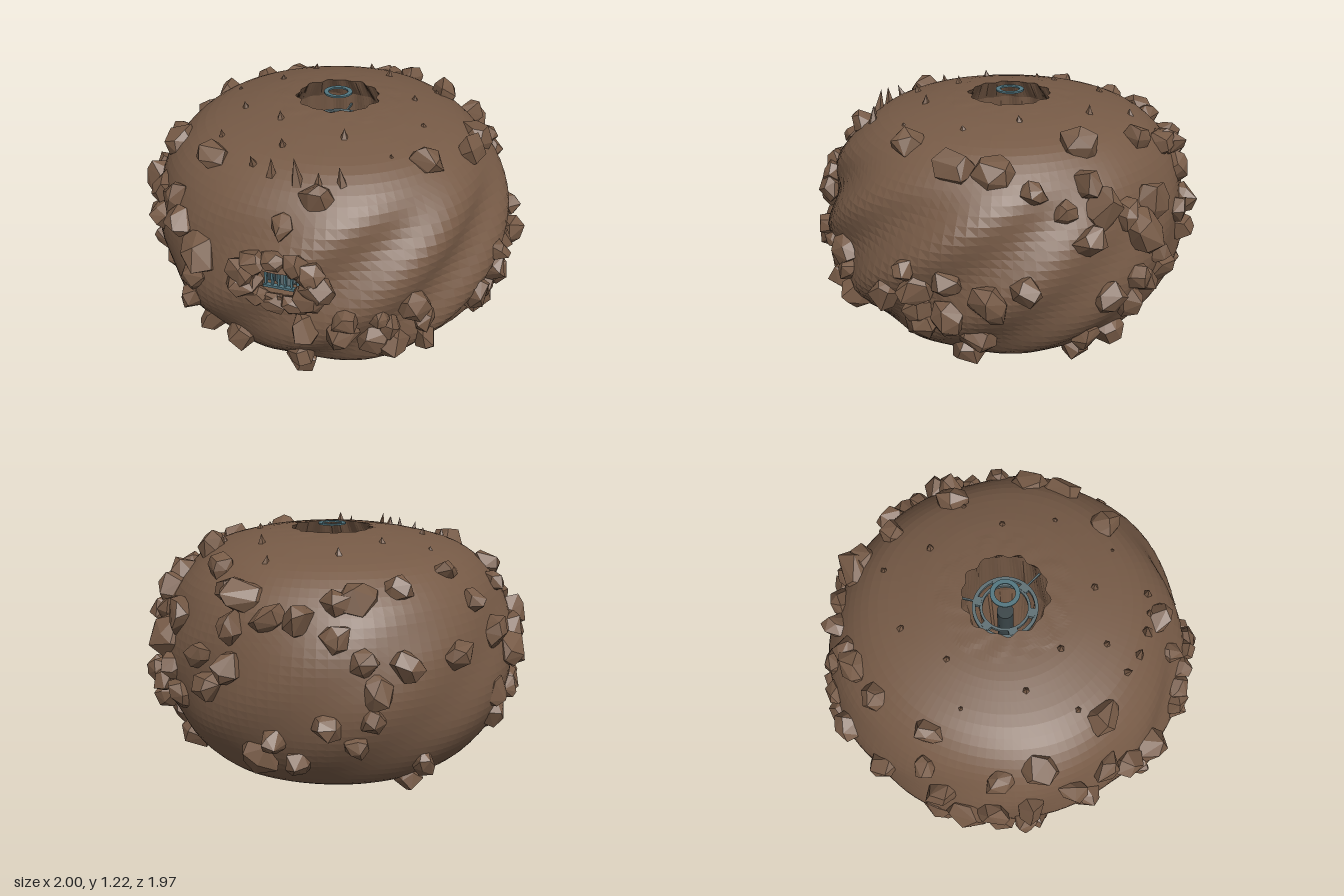
import * as THREE from 'three';
import { ConvexGeometry } from 'three/addons/geometries/ConvexGeometry.js';

const { sin, cos, PI, max, min, abs, atan2, hypot } = Math;
const { smoothstep } = THREE.MathUtils;
let seed = 7;
const rand = () => (seed = (seed * 16807) % 2147483647) / 2147483647;

// Outer profile [radius, height], bottom rim to top rim, then the shaft wall back down
const PROFILE = [[.2, .02], [.3, .015], [.5, .04], [.68, .12], [.8, .25], [.88, .4], [.91, .55], [.9, .7],
  [.86, .85], [.78, 1], [.64, 1.12], [.45, 1.18], [.3, 1.205], [.2, 1.215]];
const SHAFT = [[.25, 1.12], [.31, .6], [.25, .1], [.2, .02]];

// Linear lookup in a profile stretch that ends at the top
const radiusAt = y => {
  const i = PROFILE.findIndex((p, n) => n > 1 && p[1] >= y), [a, b] = [PROFILE[i - 1], PROFILE[i]];
  return a[0] + (b[0] - a[0]) * (y - a[1]) / (b[1] - a[1]);
};
const heightAt = r => {
  const i = PROFILE.findIndex((p, n) => n > 6 && p[0] <= r), [a, b] = [PROFILE[i - 1], PROFILE[i]];
  return a[1] + (b[1] - a[1]) * (r - a[0]) / (b[0] - a[0]);
};

// Lumps, slanting ripples strongest on the left front, longer front to back, flatter back corner
function swell(phi, r, y) {
  const w = smoothstep(r, .35, .75);
  const ripple = (.007 + .026 * max(0, cos(phi - .95))) * smoothstep(1.12 - y, 0, .3) * smoothstep(y, .05, .25);
  return 1 + w * (.008 * sin(3 * phi + 4 * y) + .007 * sin(5 * phi - 6 * y) + ripple * sin(9 * phi - 14 * y)
    + .025 * cos(phi) ** 2 + .035 * max(0, cos(phi + PI / 2)) ** 2 - .04 * max(0, cos(phi - 2.4)) ** 2);
}

function bodyGeometry() {
  const outer = new THREE.SplineCurve(PROFILE.map(p => new THREE.Vector2(...p))).getPoints(52);
  const inner = SHAFT.map(p => new THREE.Vector2(...p));
  const geo = new THREE.LatheGeometry([...outer, ...inner], 112);
  const pos = geo.attributes.position;
  for (let i = 0; i < pos.count; i++) {
    const x = pos.getX(i), y = pos.getY(i), z = pos.getZ(i), r = hypot(x, z), phi = atan2(x, z);
    const jag = r < .33 ? .007 * sin(14 * phi + (r - .2) * 40) + .006 * sin(9 * phi + 1) : 0;
    const s = swell(phi, r, y) + jag / r;
    pos.setXYZ(i, x * s, y, z * s);
  }
  // Leave out the faces across the front opening
  const index = geo.index.array, kept = [];
  for (let i = 0; i < index.length; i += 3) {
    const tri = [index[i], index[i + 1], index[i + 2]];
    const mean = axis => tri.reduce((sum, v) => sum + pos.array[v * 3 + axis], 0) / 3;
    if (!(mean(2) > .7 && abs(mean(0)) < .095 && abs(mean(1) - .71) < .07)) kept.push(...tri);
  }
  geo.setIndex(kept);
  const flat = geo.toNonIndexed();
  flat.computeVertexNormals();
  return flat;
}

// Irregular convex boulder
function rockGeometry(size) {
  const pts = [], n = 15, stretch = [.85 + .4 * rand(), .75 + .4 * rand(), .7 + .35 * rand()];
  for (let i = 0; i < n; i++) {
    const h = 1 - 2 * (i + .5) / n, a = i * 2.4 + rand() * .9, q = Math.sqrt(1 - h * h), s = size * (.85 + .3 * rand());
    pts.push(new THREE.Vector3(q * cos(a) * s * stretch[0], h * s * stretch[1], q * sin(a) * s * stretch[2]));
  }
  return new ConvexGeometry(pts);
}

// Boulder clusters: [degrees round from the front, height, count]
const CLUSTERS = [[4, 1, 2], [-38, 1.09, 1], [-72, 1, 2], [-50, .86, 2], [-32, .77, 2], [-52, .73, 1], [-30, .52, 2], [-22, .31, 2],
  [5, .27, 1], [3, .15, 1], [13, .53, 2], [24, .48, 3], [37, .42, 4], [38, .57, 1], [68, .5, 3], [-75, .76, 2], [-72, .5, 3],
  [-68, .24, 3], [79, 1.07, 1], [100, 1.03, 2], [127, 1.06, 2], [122, .87, 3], [143, .83, 3], [148, .56, 3], [135, .5, 3],
  [75, .64, 2], [98, .58, 2], [76, .4, 2], [86, .24, 2], [130, .2, 3], [166, 1.06, 2], [180, .95, 3], [170, .7, 3], [190, .35, 3],
  [-156, .95, 3], [-140, .74, 3], [-138, 1.04, 2], [-148, .5, 3], [-105, 1.02, 2], [-117, .77, 1], [-92, .74, 2], [-94, .47, 3],
  [-124, .2, 2], [54, 1.12, 1]];

export function createModel() {
  const group = new THREE.Group();
  group.name = 'asteroid';
  const material = (name, color) => {
    const m = new THREE.MeshStandardMaterial({ color });
    m.name = name;
    return m;
  };
  const stone = material('brown stone', 0x765a46);
  const teal = material('teal steel', 0x527680);
  const steel = material('grey steel', 0x5f7074);
  const dark = material('dark metal', 0x3a4548);

  const sub = name => {
    const g = new THREE.Group();
    g.name = name;
    g.position.x = -.02;
    group.add(g);
    return g;
  };
  const add = (parent, name, geo, mat, x = 0, y = 0, z = 0) => {
    const m = new THREE.Mesh(geo, mat);
    m.name = name;
    m.position.set(x, y, z);
    parent.add(m);
    return m;
  };
  add(sub('body'), 'asteroidBody', bodyGeometry(), stone);

  // Boulders half sunk into the surface, spread around each cluster's middle
  const rocks = sub('boulders');
  for (const [degrees, height, count] of CLUSTERS) {
    for (let i = 0; i < count; i++) {
      const turn = i * PI * 2 / count + degrees, spread = count > 1 ? .07 + .012 * count : 0;
      const y = height + spread * .7 * sin(turn), r = radiusAt(y), size = .064 + .036 * rand();
      const phi = degrees * PI / 180 + spread * cos(turn) / r;
      const k = min(r * swell(phi, r, y), .99 - size * .75);
      const m = add(rocks, 'boulder', rockGeometry(size), stone, k * sin(phi), y, k * cos(phi));
      m.rotation.set(rand() * 6, rand() * 6, rand() * 6);
    }
  }

  // Ring of boulders framing the front opening
  const frame = sub('openingFrame');
  for (let i = 0; i < 11; i++) {
    const a = i * PI * 2 / 11, size = .055 + .025 * abs(cos(a));
    add(frame, 'frameRock', rockGeometry(size), stone, .172 * cos(a), .715 + .112 * sin(a), .91);
  }

  // Small upright shards: a front row of tall ones, then scattered pebbles
  const shards = sub('shards');
  for (let i = 0; i < 19; i++) {
    const tall = i < 5, a = tall ? (i - 2) * .17 + .08 * (rand() - .5) : i * 2.4, r = tall ? .65 + .04 * rand() : .36 + .02 * (i - 5);
    const h = tall ? .07 + .025 * (i % 3) : .02 + .03 * rand();
    const geo = new THREE.ConeGeometry(.016 + h * .2, h * 1.3, 5).toNonIndexed();
    geo.computeVertexNormals();
    const m = add(shards, 'shard', geo, stone, r * sin(a), heightAt(r) + h * .3, r * cos(a));
    m.rotation.set((rand() - .3) * .5, rand() * 6, (rand() - .5) * .4);
  }

  // Recessed front opening with stone walls, a ribbed drum and rails
  const port = sub('frontPort');
  for (const side of [-1, 1]) {
    add(port, 'openingWall', new THREE.BoxGeometry(.03, .2, .2), stone, side * .115, .71, .8);
    add(port, 'openingLedge', new THREE.BoxGeometry(.24, .03, .2), stone, 0, .71 + side * .09, .8);
    add(port, 'portRail', new THREE.BoxGeometry(.17, .012, .02), teal, 0, .71 + side * .05, .87);
  }
  add(port, 'portBack', new THREE.BoxGeometry(.2, .16, .03), dark, 0, .71, .79);
  add(port, 'portDrum', new THREE.CylinderGeometry(.05, .05, .1, 12), steel, 0, .71, .81);
  for (let i = 0; i < 6; i++) add(port, 'portRib', new THREE.BoxGeometry(.01, .1, .015), teal, (i - 2.5) * .03, .71, .865);

  // Station inside the shaft: segmented rings, spokes and a central column
  const station = sub('shaftStation');
  const ring = (name, r0, r1, h, y, mat) => {
    const s = new THREE.Shape().absarc(0, 0, r1, 0, PI * 2);
    s.holes.push(new THREE.Path().absarc(0, 0, r0, 0, PI * 2, true));
    const geo = new THREE.ExtrudeGeometry(s, { depth: h, bevelEnabled: false, curveSegments: 32 });
    add(station, name, geo.rotateX(-PI / 2), mat, 0, y, 0);
  };
  const around = (name, count, radius, y, size) => {
    for (let i = 0; i < count; i++) {
      const a = PI + i * PI * 2 / count;
      add(station, name, new THREE.BoxGeometry(...size), steel, radius * sin(a), y, radius * cos(a)).rotation.y = a;
    }
  };
  for (const y of [1.05, .14]) {
    ring('outerRing', .143, .16, .02, y, steel);
    ring('middleRing', .11, .123, .02, y, steel);
    around('ringBlock', 6, .133, y + .01, [.045, .025, .03]);
  }
  around('spoke', 3, .2, 1.06, [.008, .012, .13]);
  ring('topRing', .048, .07, .008, 1.228, teal);
  add(station, 'column', new THREE.CylinderGeometry(.042, .042, .6, 12), dark, 0, .72, 0);
  return group;
}
